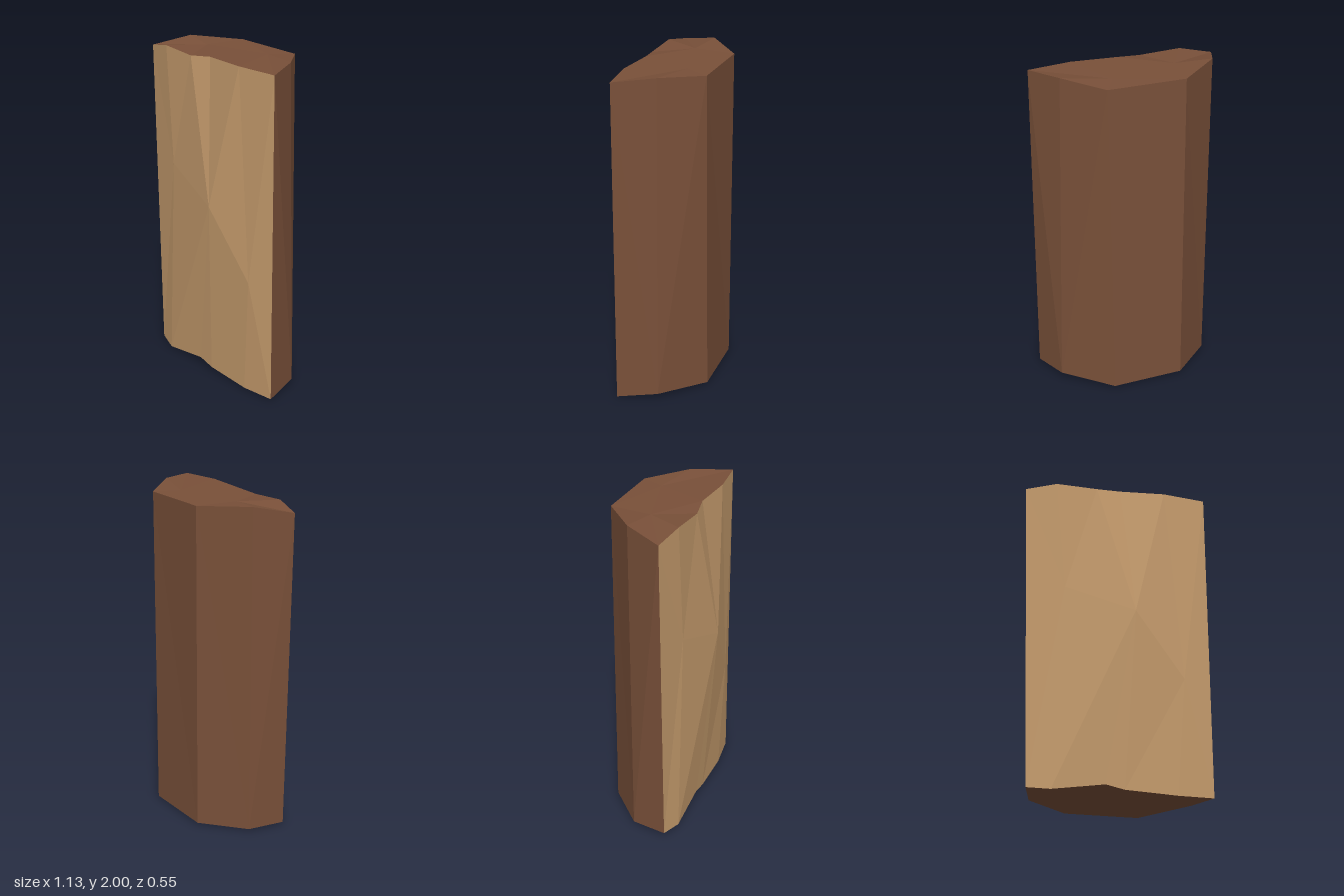
import * as THREE from 'three';

// Joins a centre point to a run of points; a closed run wraps around
function fan(centre, run, closed = true) {
  const tris = [];
  const n = closed ? run.length : run.length - 1;
  for (let i = 0; i < n; i++) tris.push(centre, run[i], run[(i + 1) % run.length]);
  return tris;
}

function facetMesh(name, corners, material) {
  const geometry = new THREE.BufferGeometry();
  geometry.setAttribute('position', new THREE.Float32BufferAttribute(corners.flat(), 3));
  geometry.computeVertexNormals();
  const mesh = new THREE.Mesh(geometry, material);
  mesh.name = name;
  return mesh;
}

export function createModel() {
  const bark = new THREE.MeshStandardMaterial({ color: 0x795039 });
  bark.name = 'bark brown';
  const wood = new THREE.MeshStandardMaterial({ color: 0xc69c6d });
  wood.name = 'split wood tan';

  // Wavy ends of the split face, from -x to +x
  const T = [[-0.57, 1.955, 0.165], [-0.38, 1.99, 0.205], [-0.13, 1.975, 0.215],
    [0.02, 1.99, 0.19], [0.3, 1.99, 0.21], [0.565, 1.985, 0.18]];
  const B = [[-0.515, 0.015, 0.17], [-0.38, 0, 0.21], [-0.07, 0.045, 0.21],
    [0.04, 0.02, 0.21], [0.35, 0.005, 0.205], [0.565, 0.01, 0.18]];

  // Rounded back of the log, from +x to -x
  const backTop = [[0.445, 2, -0.045], [0.24, 1.98, -0.262], [-0.23, 1.985, -0.265], [-0.48, 2, -0.055]];
  const backBottom = [[0.49, 0.035, -0.055], [0.213, 0.01, -0.275], [-0.23, 0.01, -0.265], [-0.47, 0.01, -0.05]];

  // Split face: three raised points with facets around them
  const C = [0.1, 1.12, 0.272], D = [0.4, 0.72, 0.22], E = [-0.32, 1.27, 0.21];
  const splitFace = [
    ...fan(C, [T[4], T[3], T[2]], false),
    ...fan(C, [B[1], B[2], B[3]], false),
    ...fan(D, [T[5], T[4], C, B[3], B[4], B[5]]),
    ...fan(E, [T[2], T[1], T[0], B[0], B[1], C]),
  ];

  // Bark: five bent panels between the top and bottom outlines
  const top = [T[5], ...backTop, T[0]];
  const bottom = [B[5], ...backBottom, B[0]];
  const barkSide = [];
  for (let i = 0; i < 5; i++) {
    const [a, b, c, d] = [bottom[i], bottom[i + 1], top[i + 1], top[i]];
    if (i === 1 || i === 4) barkSide.push(a, b, c, a, c, d);
    else barkSide.push(a, b, d, b, c, d);
  }

  // Cut ends
  const p = [-0.26, 1.985, -0.01], q = [0.16, 1.985, -0.12];
  const topEnd = [
    ...fan(p, [T[0], T[1], T[2], T[3], q, backTop[2], backTop[3]]),
    ...fan(q, [T[3], T[4], T[5], ...backTop.slice(0, 3)], false),
  ];
  const bottomEnd = fan([-0.05, 0.03, -0.02], [...B, ...backBottom].reverse());

  const log = new THREE.Group();
  log.name = 'splitLog';
  log.add(
    facetMesh('splitFace', splitFace, wood),
    facetMesh('barkSide', barkSide, bark),
    facetMesh('topEnd', topEnd, bark),
    facetMesh('bottomEnd', bottomEnd, bark),
  );
  return log;
}
